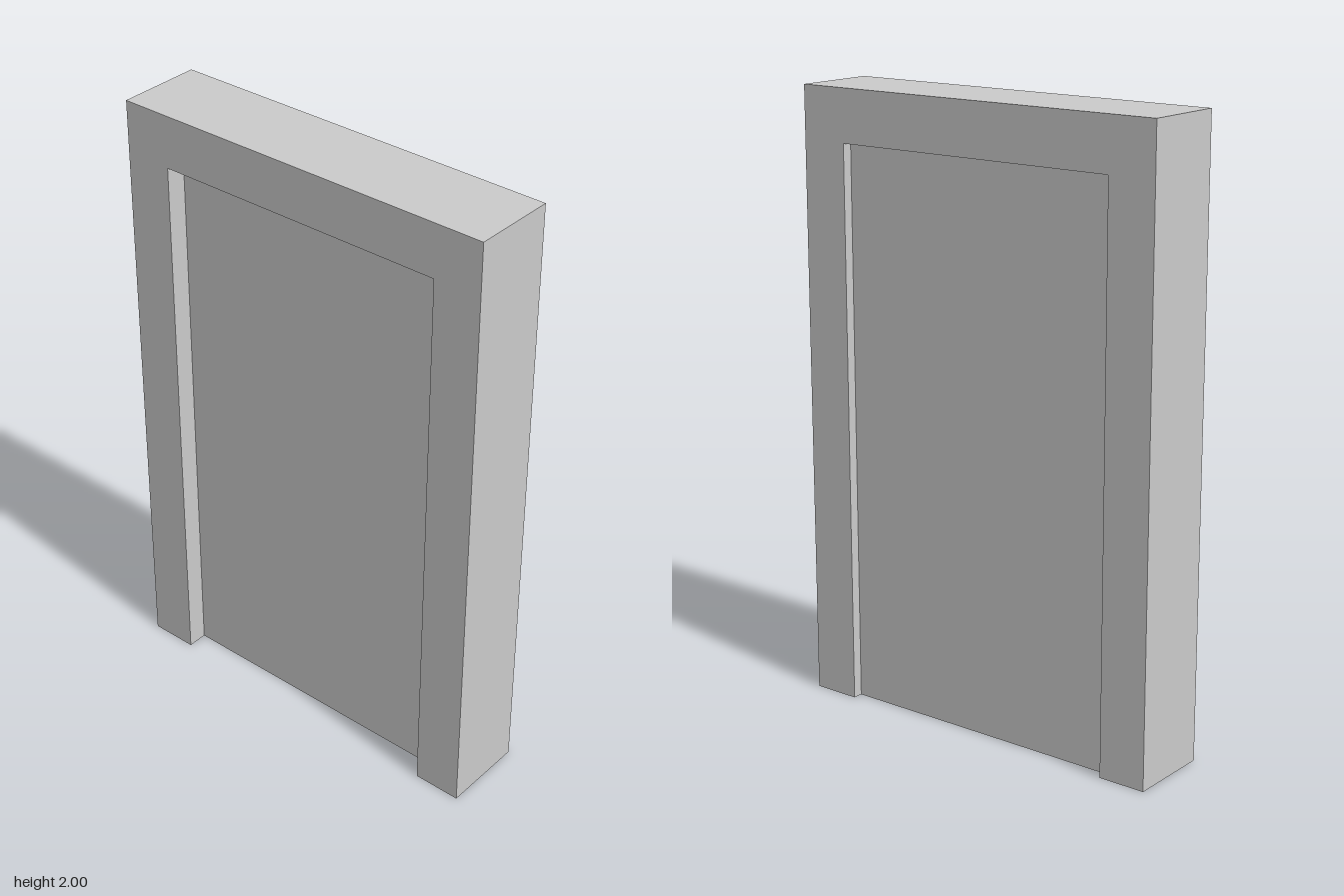
import * as THREE from 'three';

const W = 0.652, H = 2, D = 0.139; // frame half width, height, half depth
const OW = 0.494, OH = 1.83; // opening half width and height

export function createModel() {
  const group = new THREE.Group();
  group.name = 'doorway';
  const material = new THREE.MeshStandardMaterial({ color: 0xcccccc, flatShading: true });
  const skinMaterial = material.clone();
  skinMaterial.side = THREE.DoubleSide;

  // Frame: two jambs and a lintel as one extruded arch
  const outline = new THREE.Shape([
    [-W, 0], [-OW, 0], [-OW, OH], [OW, OH], [OW, 0], [W, 0], [W, H], [-W, H],
  ].map(([x, y]) => new THREE.Vector2(x, y)));
  const frameGeometry = new THREE.ExtrudeGeometry(outline, { depth: 2 * D, bevelEnabled: false });
  frameGeometry.translate(0, 0, -D);
  const frame = new THREE.Mesh(frameGeometry, material);
  frame.name = 'doorFrame';
  group.add(frame);

  // Door: a thin skin on each face, open underneath
  const addSkin = (name, z, turn) => {
    const skin = new THREE.Mesh(new THREE.PlaneGeometry(2 * OW, OH), skinMaterial);
    skin.name = name;
    skin.position.set(0, OH / 2, z);
    skin.rotation.y = turn;
    group.add(skin);
  };
  addSkin('doorFrontPanel', 0.072, 0);
  addSkin('doorBackPanel', -0.106, Math.PI);

  // The whole doorway sits very slightly turned
  group.rotation.y = 0.003;
  return group;
}
